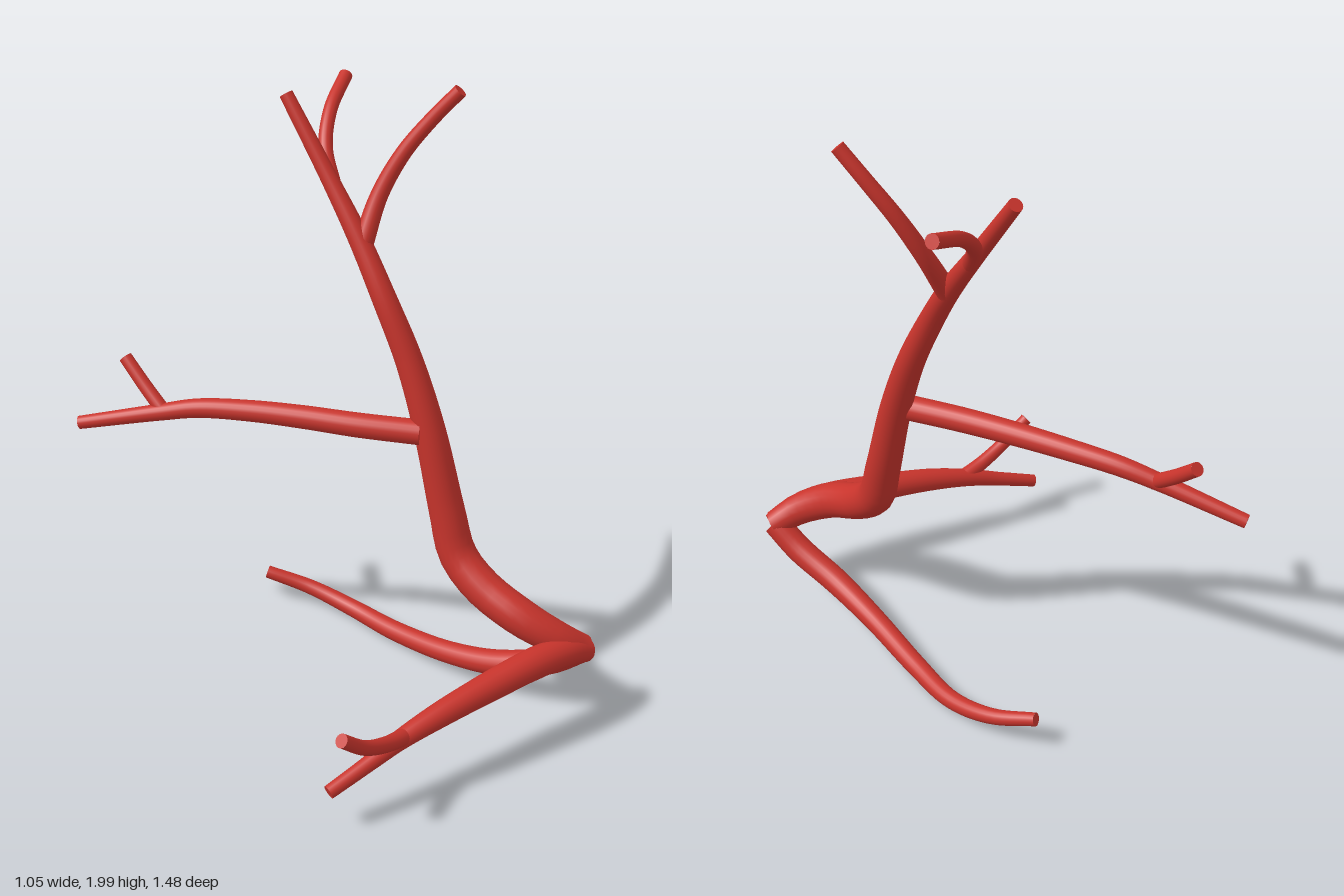
import * as THREE from 'three';
import { mergeGeometries } from 'three/addons/utils/BufferGeometryUtils.js';

const SIDES = 20;

// Tapered, capped tube along a smooth path; each point is [x, y, z, radius].
function taperedTube(points, segments = 48) {
  const curve = new THREE.CatmullRomCurve3(
    points.map(([x, y, z]) => new THREE.Vector3(x, y, z)), false, 'centripetal');
  const radiusAt = (u) => {
    const t = curve.getUtoTmapping(u) * (points.length - 1);
    const i = Math.min(Math.floor(t), points.length - 2);
    return THREE.MathUtils.lerp(points[i][3], points[i + 1][3], t - i);
  };

  // Unit-radius tube whose rings are rescaled about the path
  const tube = new THREE.TubeGeometry(curve, segments, 1, SIDES, false);
  const pos = tube.attributes.position;
  const v = new THREE.Vector3();
  for (let ring = 0; ring <= segments; ring++) {
    const u = ring / segments;
    const centre = curve.getPointAt(u);
    const r = radiusAt(u);
    for (let j = 0; j <= SIDES; j++) {
      const k = ring * (SIDES + 1) + j;
      v.fromBufferAttribute(pos, k).sub(centre).multiplyScalar(r).add(centre);
      pos.setXYZ(k, v.x, v.y, v.z);
    }
  }

  // Flat end discs facing outwards
  const caps = [0, 1].map((u) => {
    const out = curve.getTangentAt(u).multiplyScalar(u ? 1 : -1);
    const centre = curve.getPointAt(u);
    const disc = new THREE.CircleGeometry(radiusAt(u), SIDES);
    disc.applyQuaternion(new THREE.Quaternion().setFromUnitVectors(new THREE.Vector3(0, 0, 1), out));
    return disc.translate(centre.x, centre.y, centre.z);
  });
  return mergeGeometries([tube, ...caps]);
}

const branches = {
  // Main stem, rising and leaning back
  trunk: [
    [0.49, 0.265, 0.69, 0.045], [0.41, 0.32, 0.655, 0.055], [0.33, 0.39, 0.56, 0.062],
    [0.285, 0.46, 0.42, 0.063], [0.27, 0.54, 0.325, 0.062], [0.265, 0.68, 0.275, 0.058],
    [0.25, 0.95, 0.2, 0.051], [0.235, 1.17, 0.115, 0.044], [0.212, 1.36, 0.02, 0.039],
    [0.205, 1.53, -0.095, 0.034], [0.192, 1.7, -0.225, 0.027], [0.165, 1.925, -0.39, 0.022],
  ],
  topFrontTwig: [
    [0.21, 1.51, -0.08, 0.033], [0.285, 1.65, -0.09, 0.028], [0.355, 1.78, -0.06, 0.025],
    [0.42, 1.89, -0.005, 0.023], [0.475, 1.985, 0.058, 0.022],
  ],
  topBackTwig: [
    [0.198, 1.66, -0.2, 0.025], [0.235, 1.76, -0.285, 0.023],
    [0.315, 1.845, -0.355, 0.022], [0.445, 1.91, -0.43, 0.022],
  ],
  // Middle branch reaching back
  middleBranch: [
    [0.22, 0.953, 0.19, 0.041], [0.1, 0.955, 0.03, 0.04], [0, 0.957, -0.12, 0.038],
    [-0.1, 0.953, -0.27, 0.035], [-0.2, 0.94, -0.41, 0.032], [-0.28, 0.912, -0.51, 0.028],
    [-0.45, 0.842, -0.73, 0.022],
  ],
  middleTwig: [[-0.27, 0.905, -0.49, 0.024], [-0.283, 0.98, -0.585, 0.023], [-0.295, 1.055, -0.67, 0.022]],
  // Front branch running across, forked at its tip
  frontBranch: [
    [0.498, 0.258, 0.695, 0.04], [0.41, 0.29, 0.692, 0.048], [0.28, 0.305, 0.682, 0.052],
    [0.1, 0.292, 0.662, 0.048], [-0.1, 0.268, 0.64, 0.04], [-0.25, 0.235, 0.62, 0.031],
    [-0.37, 0.195, 0.605, 0.025], [-0.505, 0.15, 0.585, 0.022],
  ],
  frontTwig: [
    [-0.22, 0.24, 0.622, 0.028], [-0.32, 0.268, 0.638, 0.025],
    [-0.42, 0.315, 0.65, 0.023], [-0.51, 0.388, 0.648, 0.022],
  ],
  // Low branch sweeping under and back
  lowBranch: [
    [0.485, 0.265, 0.69, 0.045], [0.44, 0.19, 0.6, 0.046], [0.375, 0.125, 0.45, 0.044],
    [0.33, 0.077, 0.25, 0.038], [0.303, 0.045, 0, 0.034], [0.283, 0.045, -0.2, 0.03],
    [0.227, 0.075, -0.36, 0.026], [0.135, 0.117, -0.485, 0.022],
  ],
};

export function createModel() {
  const model = new THREE.Group();
  model.name = 'branchingVessel';
  const red = new THREE.MeshStandardMaterial({ color: 0xc8342c });
  red.name = 'red';
  for (const [name, points] of Object.entries(branches)) {
    const mesh = new THREE.Mesh(taperedTube(points), red);
    mesh.name = name;
    model.add(mesh);
  }
  return model;
}
